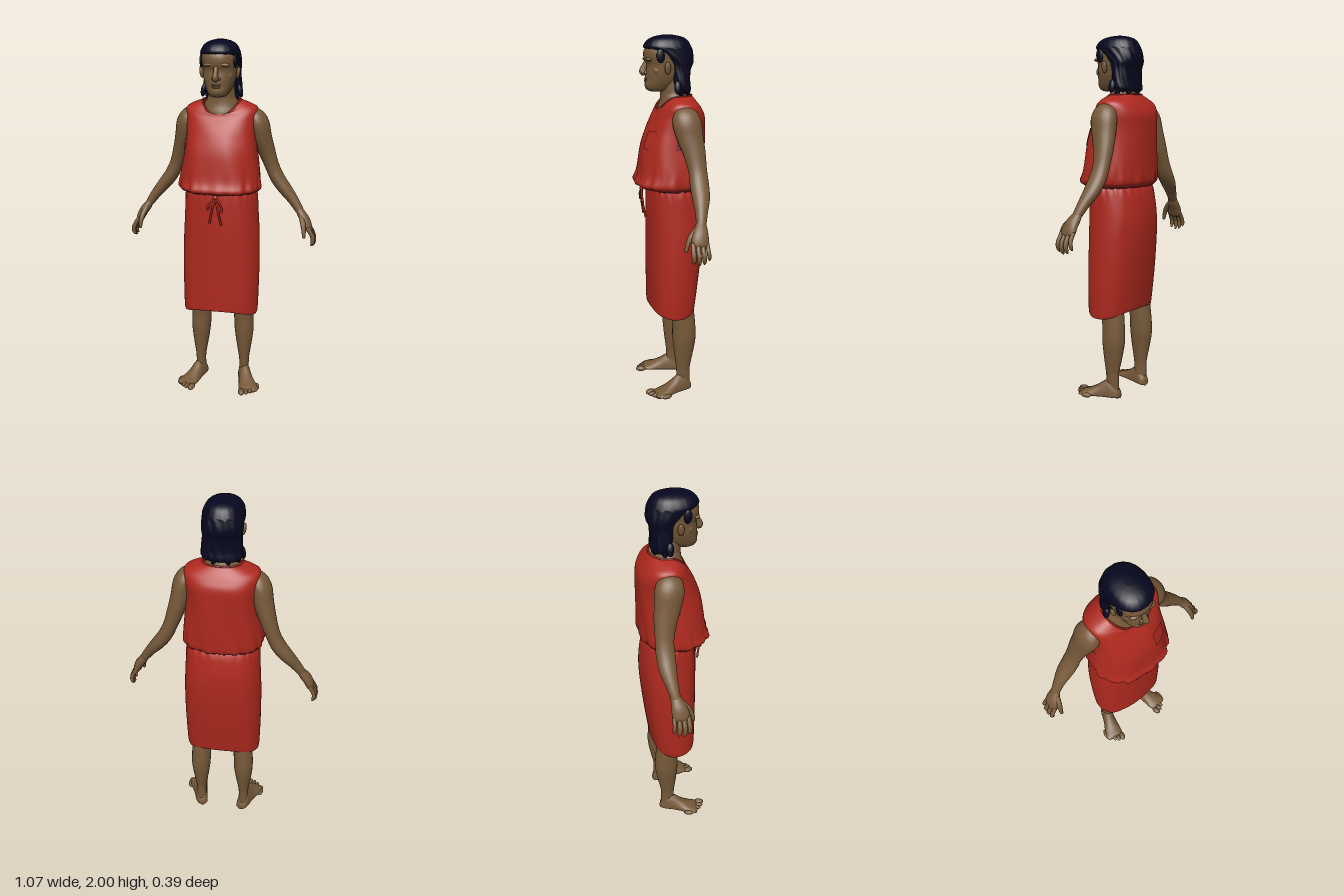
import * as THREE from 'three';

const makeMat = (name, color, side = THREE.FrontSide) => {
  const m = new THREE.MeshStandardMaterial({ color, side });
  m.name = name;
  return m;
};
const skin = makeMat('skin', 0x765939);
const cloth = makeMat('redCloth', 0xae291e, THREE.DoubleSide);
const lining = makeMat('darkRedLining', 0x7c1f28, THREE.DoubleSide);
const hairMat = makeMat('darkHair', 0x06071f);

// Catmull-Rom blend of whole section rows, t in 0..1
function sample(rows, t) {
  const n = rows.length - 1, k = Math.min(n - 1, Math.floor(t * n)), f = t * n - k;
  const at = i => rows[Math.max(0, Math.min(n, i))];
  return at(k).map((b, j) => {
    const a = at(k - 1)[j], c = at(k + 1)[j], d = at(k + 2)[j];
    return 0.5 * (2 * b + (c - a) * f + (2 * a - 5 * b + 4 * c - d) * f * f + (3 * b - a - 3 * c + d) * f ** 3);
  });
}

// Surface from fn(u, v): v runs around (closed) or across (open)
function grid(nu, nv, fn, closed = true, caps = true) {
  const pos = [], idx = [], cols = closed ? nv : nv + 1;
  for (let i = 0; i <= nu; i++) for (let j = 0; j < cols; j++) pos.push(...fn(i / nu, j / nv));
  for (let i = 0; i < nu; i++) for (let j = 0; j < nv; j++) {
    const a = i * cols + j, b = i * cols + (j + 1) % cols;
    idx.push(a, b, a + cols, b, b + cols, a + cols);
  }
  if (closed && caps) for (const i of [0, nu]) {
    const mid = [0, 1, 2].map(k => {
      let s = 0;
      for (let j = 0; j < nv; j++) s += pos[(i * nv + j) * 3 + k];
      return s / nv;
    });
    const c = pos.length / 3;
    pos.push(...mid);
    for (let j = 0; j < nv; j++) {
      const a = i * nv + j, b = i * nv + (j + 1) % nv;
      if (i) idx.push(c, a, b); else idx.push(c, b, a);
    }
  }
  const g = new THREE.BufferGeometry();
  g.setAttribute('position', new THREE.Float32BufferAttribute(pos, 3));
  g.setIndex(idx);
  g.computeVertexNormals();
  return g;
}

// Limb along a path: rows are [x, y, z, radius towards z, radius sideways]
function limb(rows, s = 1, nu = 24, nv = 18) {
  const m = rows.map(([x, ...r]) => [x * s, ...r]);
  return grid(nu, nv, (t, v) => {
    const c = sample(m, t), p = sample(m, Math.max(0, t - 0.02)), q = sample(m, Math.min(1, t + 0.02));
    const dir = new THREE.Vector3(q[0] - p[0], q[1] - p[1], q[2] - p[2]).normalize();
    const u = new THREE.Vector3(0, 0, 1).addScaledVector(dir, -dir.z).normalize();
    const w = dir.clone().cross(u), a = v * Math.PI * 2;
    return new THREE.Vector3(c[0], c[1], c[2])
      .addScaledVector(u, Math.cos(a) * c[3]).addScaledVector(w, Math.sin(a) * c[4]).toArray();
  });
}

// Level rings: rows are [y, half width, front z, back z, front lift, back lift, squareness]
function ringPoint(rows, t, v, fold = () => 0) {
  const [y, rx, zf, zb, lf = 0, lb = 0, e = 2] = sample(rows, t);
  const a = v * Math.PI * 2, c = Math.cos(a), s = Math.sin(a), k = 1 + fold(a, y);
  const pw = q => Math.sign(q) * Math.abs(q) ** (2 / e);
  return [rx * k * pw(s), y + (c > 0 ? lf : lb) * c * c, (zf + zb) / 2 + (zf - zb) / 2 * k * pw(c)];
}

export function createModel() {
  const model = new THREE.Group();
  const add = (name, geo, mat, parent = model) => {
    const m = new THREE.Mesh(geo, mat);
    m.name = name;
    parent.add(m);
    return m;
  };
  const group = name => {
    const g = new THREE.Group();
    g.name = name;
    model.add(g);
    return g;
  };
  const blob = (name, mat, parent, p, r, rz = 0) => {
    const m = add(name, new THREE.SphereGeometry(1, 16, 12), mat, parent);
    m.position.set(...p);
    m.scale.set(...r);
    m.rotation.z = rz;
  };
  const rings = (rows, nu, nv, fold, caps) => grid(nu, nv, (t, v) => ringPoint(rows, t, v, fold), true, caps);

  // Sleeveless top, bloused over the waist
  const top = [
    [1.185, .19, .11, -.15, 0, 0, 2.4], [1.195, .205, .155, -.165, 0, 0, 2.4], [1.215, .222, .19, -.186, 0, 0, 2.4],
    [1.27, .219, .172, -.19, 0, 0, 2.4], [1.41, .2, .152, -.192, 0, 0, 2.4], [1.505, .193, .12, -.192, 0, 0, 2.4],
    [1.58, .194, .09, -.188, -.015, 0, 2.5], [1.637, .195, .07, -.165, -.04, -.01, 2.4],
    [1.664, .157, .064, -.14, -.048, 0, 2.2], [1.682, .104, .062, -.125, -.078, .004, 2.2]];
  const topFold = (a, y) => Math.exp(-(((y - 1.21) / .07) ** 2)) * (.018 * Math.sin(13 * a + 1) + .014 * Math.sin(22 * a))
    + .012 * Math.sin(7 * a + y * 9) * Math.min(1, Math.max(0, (1.6 - y) * 8));
  add('tunicTop', rings(top, 54, 96, topFold, false), cloth);
  // Lining seen under the bloused edge and in the armholes
  add('tunicUnderside', grid(10, 96, (t, v) => {
    const p = ringPoint(top, t * 1.25 / 9, v, (a, y) => topFold(a, y) + .006);
    return [p[0], p[1] - .002, p[2]];
  }, true, false), lining);
  for (const v0 of [.235, .695])
    add('armholeLining', grid(16, 8, (u, v) =>
      ringPoint(top, (4 + u * 2.4) / 9, v0 + v * .07, (a, y) => topFold(a, y) + .012), false), lining);
  const collar = new THREE.CatmullRomCurve3(
    Array.from({ length: 20 }, (_, i) => new THREE.Vector3(...ringPoint(top, 1, i / 20))), true);
  add('collarTrim', new THREE.TubeGeometry(collar, 60, .005, 6, true), cloth);

  // Chest pocket laid just over the cloth
  add('chestPocket', grid(10, 10, (u, v) => {
    const p = ringPoint(top, (4 + u) / 9, .045 + .075 * v, topFold);
    return [p[0], p[1], p[2] + .006];
  }, false), cloth);

  // Skirt with a hem raised at front and back, lined inside
  const skirt = [
    [.465, .209, .115, -.135, .035, .035, 2.5], [.5, .214, .119, -.142, .03, .03, 2.5], [.71, .218, .121, -.165, 0, 0, 2.5],
    [.9, .216, .122, -.184, 0, 0, 2.4], [1.03, .209, .122, -.186, 0, 0, 2.4], [1.15, .202, .12, -.17, 0, 0, 2.3],
    [1.2, .19, .115, -.15, 0, 0, 2.3]];
  const skirtFold = (a, y) => .012 * Math.sin(8 * a + 2) * (.4 + Math.abs(y - .85))
    + Math.exp(-(((y - 1.19) / .05) ** 2)) * .018 * Math.sin(24 * a);
  add('skirt', rings(skirt, 40, 96, skirtFold, false), cloth);
  add('skirtLining', rings(skirt, 40, 96, (a, y) => skirtFold(a, y) - .02, false), lining);

  // Drawstring: bow loops and hanging ends
  const cord = group('drawstring');
  const strings = [
    [[0, 1.18, .15], [-.03, 1.15, .155], [-.045, 1.11, .15], [-.02, 1.13, .152], [0, 1.18, .15]],
    [[0, 1.18, .15], [.025, 1.15, .155], [.04, 1.1, .15], [.015, 1.12, .152], [0, 1.18, .15]],
    [[0, 1.18, .15], [-.015, 1.12, .15], [-.035, 1.03, .135]],
    [[0, 1.18, .15], [.012, 1.12, .15], [.03, 1.02, .135]]];
  for (const s of strings) {
    const c = new THREE.CatmullRomCurve3(s.map(p => new THREE.Vector3(...p)));
    add('cord', new THREE.TubeGeometry(c, 20, .006, 6), cloth, cord);
  }
  blob('knot', cloth, cord, [0, 1.18, .15], [.014, .012, .012]);

  // Neck and head
  add('neck', rings([[1.56, .1, .045, -.12], [1.61, .104, .058, -.122], [1.655, .097, .045, -.114], [1.69, .078, .042, -.1],
    [1.72, .073, .045, -.09], [1.79, .07, .05, -.08]], 20, 32), skin);
  const head = group('head');
  add('skull', rings([[1.705, .022, .09, .03], [1.714, .045, .115, 0], [1.735, .06, .127, -.04], [1.765, .074, .125, -.07],
    [1.8, .084, .125, -.09], [1.845, .09, .12, -.1], [1.875, .092, .131, -.1], [1.92, .094, .13, -.1],
    [1.96, .075, .1, -.08], [1.985, .03, .05, -.03]].map(r => [...r, 0, 0, 2.25]), 36, 40), skin, head);
  add('nose', limb([[0, 1.88, .115, .008, .01], [0, 1.85, .124, .014, .012], [0, 1.82, .134, .021, .014],
    [0, 1.807, .136, .02, .017], [0, 1.797, .125, .01, .012]], 1, 16, 14), skin, head);
  blob('upperLip', skin, head, [0, 1.772, .122], [.026, .006, .009]);
  blob('lowerLip', skin, head, [0, 1.761, .122], [.023, .006, .009]);
  for (const s of [-1, 1]) {
    blob('brow', skin, head, [s * .038, 1.876, .112], [.034, .011, .018], s * -.1);
    blob('eyelid', skin, head, [s * .038, 1.853, .1], [.018, .009, .012]);
    blob('nostril', skin, head, [s * .014, 1.805, .122], [.01, .009, .014]);
    blob('cheek', skin, head, [s * .048, 1.815, .074], [.03, .03, .024]);
    blob('ear', skin, head, [s * .099, 1.83, .024], [.01, .032, .017], s * -.15);
  }

  // Hair: cap over the crown falling behind the ears to the nape
  const hair = group('hair');
  add('hairMass', rings([[1.7, .08, -.03, -.105], [1.715, .1, -.015, -.118], [1.76, .104, 0, -.114], [1.82, .1, .012, -.118],
    [1.855, .102, .028, -.132], [1.885, .104, .065, -.134], [1.92, .104, .112, -.128], [1.94, .102, .133, -.122],
    [1.972, .084, .112, -.102], [1.99, .055, .078, -.07], [1.999, .02, .035, -.025]].map(r => [...r, 0, 0, 2.2]), 44, 64,
    (a, y) => y < 1.93 ? .02 * Math.sin(15 * a + y * 40) : .006 * Math.sin(20 * a)), hairMat, hair);
  for (const s of [-1, 1]) {
    blob('sideburn', hairMat, hair, [s * .09, 1.892, .06], [.01, .036, .022]);
    for (let i = 0; i < 4; i++) blob('lock', hairMat, hair,
      [s * (.1 - i * .022), 1.73 - (i % 2) * .012, -.03 - i * .022], [.015, .036, .02], s * .2);
  }

  // Arms, hands, legs and feet, mirrored
  for (const s of [-1, 1]) {
    const side = s > 0 ? 'left' : 'right';
    const arm = group(side + 'Arm');
    add('armLimb', limb([[.14, 1.605, -.05, .04, .03], [.177, 1.59, -.05, .066, .05], [.2, 1.55, -.055, .076, .057],
      [.217, 1.48, -.068, .07, .053], [.242, 1.4, -.085, .059, .046], [.272, 1.315, -.095, .049, .039],
      [.305, 1.245, -.096, .05, .039], [.35, 1.185, -.093, .046, .036], [.395, 1.13, -.083, .034, .029],
      [.43, 1.08, -.073, .027, .024], [.46, 1.035, -.063, .022, .015]], s, 44, 24), skin, arm);
    add('palm', limb([[.418, 1.1, -.077, .018, .014], [.446, 1.055, -.067, .033, .024], [.471, 1.02, -.058, .043, .025],
      [.489, .98, -.052, .045, .021], [.496, .962, -.051, .03, .01]], s), skin, arm);
    for (let i = 0; i < 4; i++) {
      const z = -.016 - i * .024, len = [.9, 1, .95, .78][i], r = i === 3 ? .011 : .0125;
      add('finger', limb([[.486, .99, z, r, r], [.486 + .033 * len, .98 - .045 * len, z + .003 - i * .002, r, r],
        [.486 + .035 * len, .98 - .08 * len, z + .002 - i * .003, r * .9, r * .9],
        [.486 + .024 * len, .98 - .1 * len, z - i * .003, r * .4, r * .4]], s, 14, 10), skin, arm);
    }
    add('thumb', limb([[.445, 1.055, -.05, .015, .015], [.46, 1.015, -.012, .016, .015], [.468, .975, .008, .012, .012],
      [.47, .945, .015, .009, .009], [.47, .937, .016, .003, .003]], s, 16, 10), skin, arm);

    const leg = group(side + 'Leg');
    add('legLimb', limb([[.13, .05, -.06, .036, .028], [.132, .1, -.058, .039, .028], [.132, .15, -.057, .041, .031],
      [.131, .24, -.06, .056, .045], [.13, .33, -.063, .067, .056], [.127, .42, -.06, .066, .057],
      [.123, .52, -.05, .068, .058], [.115, .7, -.04, .08, .07], [.105, .95, -.035, .09, .08]], s, 40, 24), skin, leg);
    const foot = new THREE.Group();
    foot.name = 'foot';
    foot.position.set(s * .119, 0, -.103);
    foot.rotation.y = s * .27;
    leg.add(foot);
    // Foot rows: [z, centre x, half width, height], flat underneath
    const rows = [[0, 0, .014, .035], [.012, 0, .03, .06], [.045, .002, .037, .105], [.085, .003, .039, .1],
      [.13, .006, .045, .07], [.18, .01, .055, .044], [.215, .012, .056, .032], [.235, .012, .045, .02]];
    add('footBody', grid(28, 20, (t, v) => {
      const [z, x, w, h] = sample(rows, t), a = v * Math.PI * 2, sn = Math.sin(a);
      return [s * x + w * Math.cos(a), sn > 0 ? .016 + (h - .016) * sn : .016 + .014 * sn, z];
    }), skin, foot);
    for (let i = 0; i < 5; i++) blob('toe', skin, foot,
      [s * (-.032 + i * .024 - (i ? 0 : .004)), .015, .24 - i * i * .0035], [i ? .0125 : .018, i ? .013 : .016, .03]);
  }
  return model;
}
